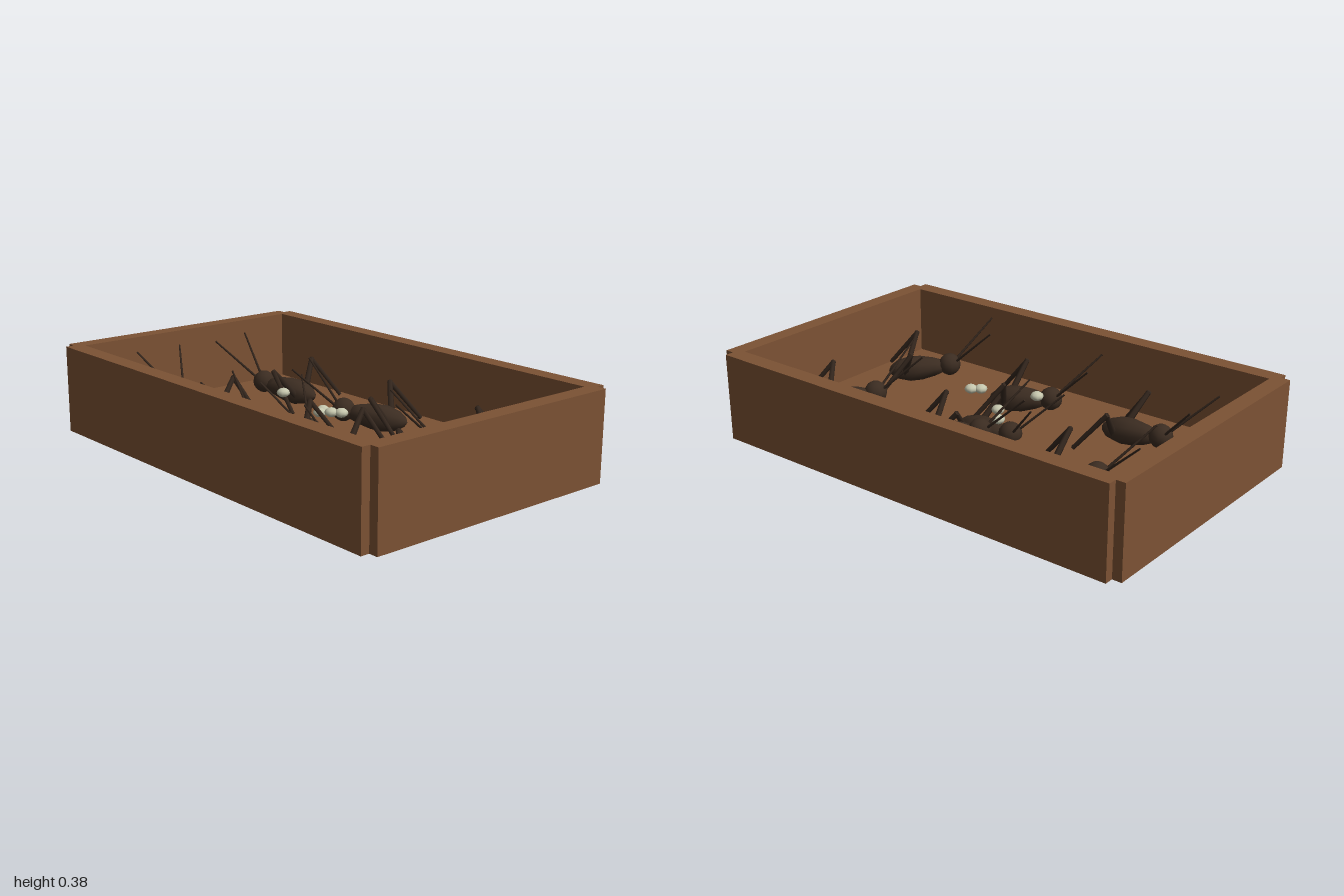
import * as THREE from 'three';

const wood = new THREE.MeshStandardMaterial({ color: 0x7c5234 });
wood.name = 'brown wood';
const shell = new THREE.MeshStandardMaterial({ color: 0x3b2c21 });
shell.name = 'dark shell';
const limb = new THREE.MeshStandardMaterial({ color: 0x33261d });
limb.name = 'dark limb';
const cream = new THREE.MeshStandardMaterial({ color: 0xc6c7ae });
cream.name = 'pale cream';

function add(parent, name, geometry, material, x = 0, y = 0, z = 0) {
  const mesh = new THREE.Mesh(geometry, material);
  mesh.name = name;
  mesh.position.set(x, y, z);
  parent.add(mesh);
  return mesh;
}

// tapered rod between two points
function rod(parent, name, a, b, r0, r1, sides = 6) {
  const from = new THREE.Vector3(...a), to = new THREE.Vector3(...b);
  const dir = to.clone().sub(from);
  const mesh = add(parent, name, new THREE.CylinderGeometry(r1, r0, dir.length(), sides), limb);
  mesh.position.copy(from).add(to).multiplyScalar(0.5);
  mesh.quaternion.setFromUnitVectors(new THREE.Vector3(0, 1, 0), dir.normalize());
}

// insect with its head at the local origin, facing -x
function createInsect() {
  const g = new THREE.Group();
  g.name = 'insect';
  add(g, 'head', new THREE.SphereGeometry(0.05, 10, 8), shell);

  // abdomen: narrow neck, broad middle, blunt tail
  const profile = [[0, 0.26], [0.022, 0.25], [0.045, 0.222], [0.062, 0.165], [0.06, 0.11], [0.046, 0.05], [0.03, 0.01], [0, 0]];
  const geo = new THREE.LatheGeometry(profile.map(([r, y]) => new THREE.Vector2(r, y)).reverse(), 10);
  geo.rotateZ(-Math.PI / 2);
  geo.scale(1, 0.9, 1);
  const body = add(g, 'abdomen', geo, shell, 0.02, -0.008, 0);
  body.rotation.z = -0.1;

  // feelers and hind legs, mirrored
  for (const s of [-1, 1]) {
    rod(g, 'feeler', [-0.03, 0.02, s * 0.02], [-0.19, 0.185, s * 0.112], 0.006, 0.004, 5);
    rod(g, 'thigh', [0.2, -0.03, s * 0.04], [0.16, 0.1, s * 0.155], 0.015, 0.011);
    rod(g, 'shin', [0.157, 0.1, s * 0.152], [0.29, -0.065, s * 0.195], 0.011, 0.009);
  }
  return g;
}

export function createModel() {
  const model = new THREE.Group();
  model.name = 'insect tray';

  // open tray with notched corners
  const tray = new THREE.Group();
  tray.name = 'tray';
  model.add(tray);
  add(tray, 'floor', new THREE.BoxGeometry(1.92, 0.074, 1.17), wood, 0, 0.038, 0);
  for (const s of [-1, 1]) {
    add(tray, 'longWall', new THREE.BoxGeometry(1.92, 0.38, 0.075), wood, 0, 0.19, s * 0.585);
    add(tray, 'endWall', new THREE.BoxGeometry(0.072, 0.38, 1.17), wood, s * 0.964, 0.19, 0);
  }

  // insects: head x, y, z and heading in degrees
  const places = [
    [-0.63, 0.155, -0.205, 17], [-0.03, 0.155, -0.165, 32], [0.58, 0.155, -0.135, 52],
    [-0.63, 0.155, 0.24, 0], [-0.055, 0.09, 0, 0], [-0.055, 0.155, 0.28, 19], [0.55, 0.155, 0.32, 37],
  ];
  for (const [x, y, z, deg] of places) {
    const insect = createInsect();
    insect.position.set(x, y, z);
    insect.rotation.y = THREE.MathUtils.degToRad(deg);
    model.add(insect);
  }

  // pale pellets
  const pellets = [[-0.13, 0.25, 0.08], [-0.04, 0.17, -0.06], [0.01, 0.18, 0], [0.18, 0.22, 0.03], [0.147, 0.22, 0.055]];
  for (const [x, y, z] of pellets) {
    add(model, 'pellet', new THREE.SphereGeometry(0.028, 8, 6), cream, x, y, z).scale.y = 0.7;
  }
  return model;
}
